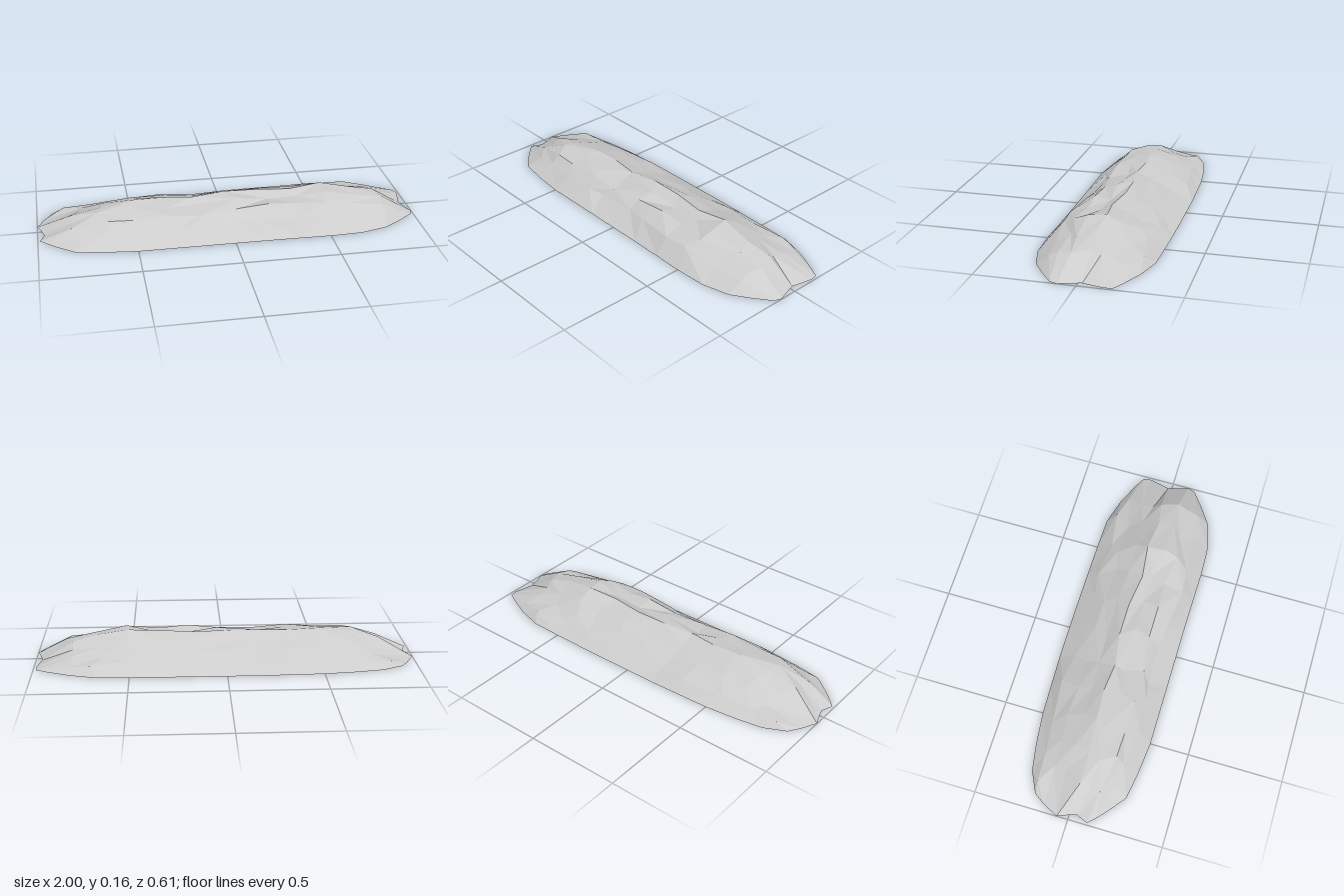
import * as THREE from 'three';

// Small seeded generator, returns -1..1
function makeRandom(seed) {
  let s = seed;
  return () => {
    s = (s * 16807) % 2147483647;
    return (s / 2147483647) * 2 - 1;
  };
}

// Ground outline at the two ragged ends, back to front: [x, z]
const rightSideEnd = [[-0.92, -0.2], [-0.96, -0.14], [-0.985, -0.09], [-1, -0.06], [-0.98, -0.01],
  [-0.965, 0.04], [-0.99, 0.1], [-0.95, 0.14], [-0.9, 0.185]];
const leftSideEnd = [[0.93, -0.2], [0.985, -0.17], [0.99, -0.13], [0.98, -0.08], [0.965, -0.02],
  [0.985, 0.05], [1, 0.09], [0.985, 0.13], [0.9, 0.195]];

// Stations along the mound: [x, back z, front z, crest height]
const stations = [
  [-0.81, -0.253, 0.255, 0.09], [-0.67, -0.277, 0.278, 0.125], [-0.5, -0.295, 0.295, 0.148],
  [-0.34, -0.3, 0.295, 0.144], [-0.17, -0.305, 0.295, 0.142], [0, -0.305, 0.295, 0.149],
  [0.17, -0.305, 0.295, 0.146], [0.34, -0.303, 0.297, 0.146], [0.51, -0.3, 0.3, 0.16],
  [0.67, -0.295, 0.293, 0.13], [0.81, -0.255, 0.255, 0.098],
];

// Cross-section, back to front: fraction of width, fraction of crest height
const across = [0, 0.12, 0.24, 0.36, 0.49, 0.62, 0.74, 0.86, 1];
const rise = [0, 0.32, 0.56, 0.79, 1, 0.91, 0.8, 0.5, 0];

function rockShell() {
  const rnd = makeRandom(4271);
  const rows = [rightSideEnd.map(([x, z]) => [x, 0, z])];
  for (const [x, back, front, crest] of stations) {
    rows.push(across.map((v, j) => {
      const z = back + (front - back) * v;
      if (j === 0 || j === 8) return [x, 0, z];
      const ridge = j === 4;
      return [
        x + rnd() * (ridge ? 0.015 : 0.05),
        crest * rise[j] * (ridge ? 1 : 1 + rnd() * 0.13),
        z + rnd() * 0.02,
      ];
    }));
  }
  rows.push(leftSideEnd.map(([x, z]) => [x, 0, z]));

  // Facets with irregular diagonals
  const index = [];
  const n = across.length;
  for (let i = 0; i < rows.length - 1; i++) {
    for (let j = 0; j < n - 1; j++) {
      const a = i * n + j, b = a + n, c = a + 1, d = b + 1;
      if (rnd() > 0) index.push(a, c, b, b, c, d);
      else index.push(a, c, d, a, d, b);
    }
  }
  const indexed = new THREE.BufferGeometry();
  indexed.setAttribute('position', new THREE.Float32BufferAttribute(rows.flat(2), 3));
  indexed.setIndex(index);
  const geometry = indexed.toNonIndexed();
  geometry.computeVertexNormals();
  return geometry;
}

export function createModel() {
  const stone = new THREE.MeshStandardMaterial({ color: 0xcccccc, flatShading: true, side: THREE.DoubleSide });
  stone.name = 'pale grey stone';

  // Open-bottomed faceted rock mound
  const rock = new THREE.Mesh(rockShell(), stone);
  rock.name = 'rockMound';

  const model = new THREE.Group();
  model.name = 'lowRock';
  model.add(rock);
  return model;
}
